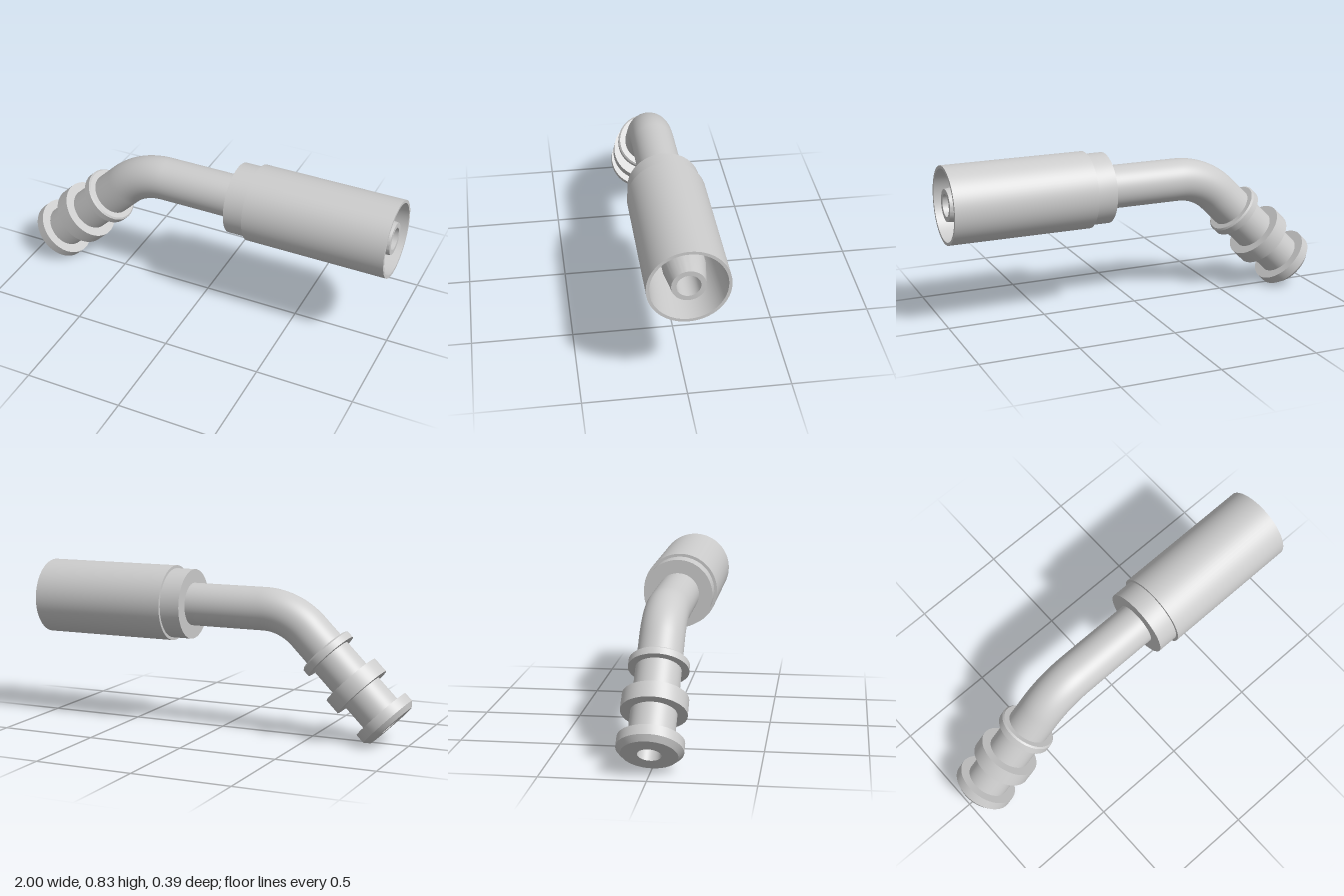
import * as THREE from 'three';
import { toCreasedNormals } from 'three/addons/utils/BufferGeometryUtils.js';

const AXIS_Y = 0.635;     // height of the straight run
const CORNER_X = -0.371;  // where the two pipe axes meet
const TANGENT = 0.14;     // corner to start of bend
const BEND_R = TANGENT / Math.tan(Math.PI / 8);
const PIPE_R = 0.11, BORE_R = 0.056;
const LEG_END = 0.76, TIP_X = 0.99;

// Circular bend turning 45 degrees downwards
class Bend extends THREE.Curve {
  getPoint(t, target = new THREE.Vector3()) {
    const a = t * Math.PI / 4;
    return target.set(
      CORNER_X + TANGENT - BEND_R * Math.sin(a),
      AXIS_Y - BEND_R * (1 - Math.cos(a)), 0);
  }
}

// Point on the angled leg at distance s from the corner
const legPoint = s => new THREE.Vector3(CORNER_X - s * Math.SQRT1_2, AXIS_Y - s * Math.SQRT1_2, 0);

// Centre line from the straight end to the angled end
function centreLine(xStart, sEnd) {
  const bend = new Bend();
  const path = new THREE.CurvePath();
  path.add(new THREE.LineCurve3(new THREE.Vector3(xStart, AXIS_Y, 0), bend.getPoint(0)));
  path.add(bend);
  path.add(new THREE.LineCurve3(bend.getPoint(1), legPoint(sEnd)));
  return path;
}

export function createModel() {
  const model = new THREE.Group();
  model.name = 'angledHoseFitting';
  const material = new THREE.MeshStandardMaterial({ color: 0xcccccc, side: THREE.DoubleSide });

  function add(parent, name, geometry) {
    const mesh = new THREE.Mesh(geometry, material);
    mesh.name = name;
    parent.add(mesh);
  }
  // Turned part from [radius, position along axis] pairs
  function turned(parent, name, profile) {
    const points = profile.map(([r, y]) => new THREE.Vector2(r, y));
    add(parent, name, toCreasedNormals(new THREE.LatheGeometry(points, 72), 0.3));
  }

  // Bent pipe and the bore through it
  add(model, 'bentPipe', new THREE.TubeGeometry(centreLine(0.2, 0.72), 120, PIPE_R, 64));
  add(model, 'bore', new THREE.TubeGeometry(centreLine(TIP_X, LEG_END), 160, BORE_R, 48));

  // Straight end: local y runs along +x
  const socket = new THREE.Group();
  socket.name = 'socket';
  socket.position.y = AXIS_Y;
  socket.rotation.z = -Math.PI / 2;
  model.add(socket);
  turned(socket, 'collar', [[PIPE_R - 0.01, 0.165], [0.18, 0.165], [0.18, 0.28]]);
  turned(socket, 'sleeve', [
    [0.17, 0.27], [0.195, 0.27], [0.195, 1], [0.18, 1], [0.152, 0.36], [0.09, 0.36],
  ]);
  turned(socket, 'nipple', [[0.1, 0.34], [0.1, 0.85], [0.08, TIP_X], [BORE_R, TIP_X]]);

  // Angled end: local y runs down the leg from the corner
  const leg = new THREE.Group();
  leg.name = 'leg';
  leg.position.set(CORNER_X, AXIS_Y, 0);
  leg.rotation.z = Math.PI * 0.75;
  model.add(leg);
  turned(leg, 'upperRing', [
    [0.1, 0.265], [0.138, 0.265], [0.146, 0.273], [0.146, 0.308], [0.1, 0.308],
  ]);
  turned(leg, 'middleRing', [[0.1, 0.46], [0.158, 0.46], [0.158, 0.543], [0.1, 0.543]]);
  turned(leg, 'endFlange', [
    [0.1, 0.685], [0.158, 0.685], [0.158, 0.735], [0.133, LEG_END], [BORE_R, LEG_END],
  ]);

  return model;
}
